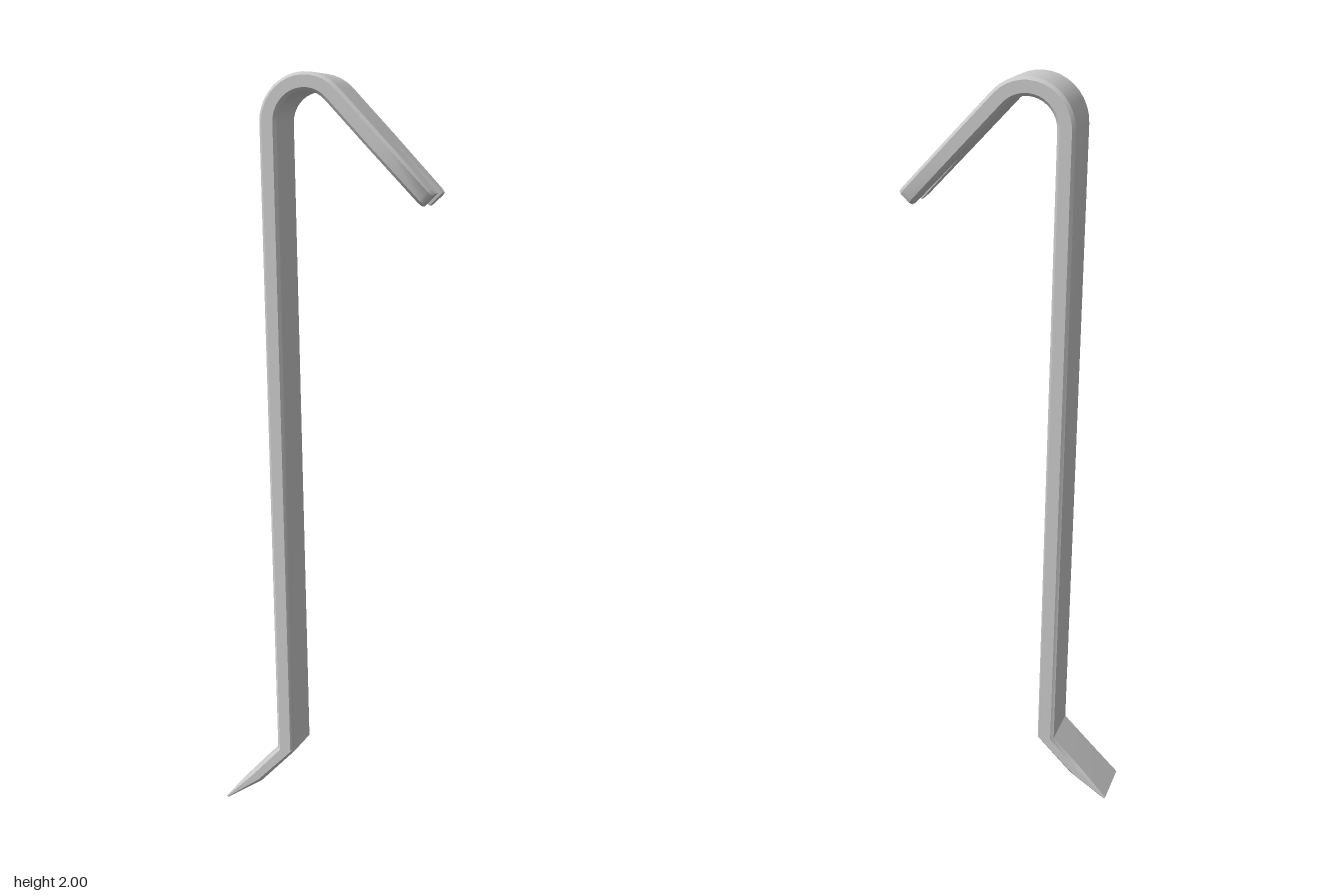
import * as THREE from 'three';
import { toCreasedNormals } from 'three/addons/utils/BufferGeometryUtils.js';

const HALF = 0.07;     // half width of the bar (z)
const THICK = 0.047;   // thickness of the bar
const BEVEL = 0.008;

// A station holds an outer point a, an inner point b and its extent lo..hi in z.
const station = (ax, ay, bx, by, lo = -HALF, hi = HALF) => ({ ax, ay, bx, by, lo, hi });

// Ring around a station; a side whose bevel is off keeps square corners.
function ring(s, bevelLo, bevelHi) {
  const thick = Math.hypot(s.bx - s.ax, s.by - s.ay);
  const c = Math.min(BEVEL, thick * 0.3);
  const u = c / thick;
  const hi0 = bevelHi ? [[0, s.hi - c], [u, s.hi]] : [[0, s.hi]];
  const hi1 = bevelHi ? [[1 - u, s.hi], [1, s.hi - c]] : [[1, s.hi]];
  const lo1 = bevelLo ? [[1, s.lo + c], [1 - u, s.lo]] : [[1, s.lo]];
  const lo0 = bevelLo ? [[u, s.lo], [0, s.lo + c]] : [[0, s.lo]];
  return [...hi1, ...lo1, ...lo0, ...hi0].map(([t, z]) => [
    s.ax + (s.bx - s.ax) * t, s.ay + (s.by - s.ay) * t, z]);
}

// Skin over consecutive rings, with optional flat end caps.
function loft(stations, { bevelLo = true, bevelHi = true, capStart = false, capEnd = false }) {
  const rings = stations.map((s) => ring(s, bevelLo, bevelHi));
  const n = rings[0].length;
  const pos = [];
  const tri = (p, q, r) => pos.push(...p, ...q, ...r);
  for (let k = 0; k < rings.length - 1; k++) {
    for (let i = 0; i < n; i++) {
      const j = (i + 1) % n;
      tri(rings[k][i], rings[k][j], rings[k + 1][j]);
      tri(rings[k][i], rings[k + 1][j], rings[k + 1][i]);
    }
  }
  const first = rings[0], last = rings[rings.length - 1];
  for (let i = 1; i < n - 1; i++) {
    if (capStart) tri(first[0], first[i + 1], first[i]);
    if (capEnd) tri(last[0], last[i], last[i + 1]);
  }
  const geo = new THREE.BufferGeometry();
  geo.setAttribute('position', new THREE.Float32BufferAttribute(pos, 3));
  return toCreasedNormals(geo, 0.6);
}

export function createModel() {
  const group = new THREE.Group();
  group.name = 'pryBar';
  const material = new THREE.MeshStandardMaterial({ color: 0xcccccc });
  const add = (name, geo) => {
    const mesh = new THREE.Mesh(geo, material);
    mesh.name = name;
    group.add(mesh);
  };

  // Chisel foot, elbow and leaning shaft
  const body = [
    station(-0.293, 0.004, -0.289, 0),
    station(-0.218, 0.085, -0.187, 0.065),
    station(-0.137, 0.168, -0.09, 0.165),
  ];

  // Hook bend
  const cx = -0.052, cy = 1.876, R = 0.123, r = R - THICK;
  const from = THREE.MathUtils.degToRad(181), to = THREE.MathUtils.degToRad(44);
  const STEPS = 14;
  for (let i = 0; i <= STEPS; i++) {
    const a = from + (to - from) * i / STEPS;
    const c = Math.cos(a), s = Math.sin(a);
    body.push(station(cx + R * c, cy + R * s, cx + r * c, cy + r * s));
  }

  // Straight arm after the bend, measured by distance d from the bend
  const nx = Math.cos(to), ny = Math.sin(to);
  const arm = (d, lo, hi) => station(
    cx + R * nx + ny * d, cy + R * ny - nx * d,
    cx + r * nx + ny * d, cy + r * ny - nx * d, lo, hi);
  body.push(arm(0.165, -HALF, HALF), arm(0.19, -0.069, 0.069));
  add('bar', loft(body, { capStart: true }));

  // Two claw prongs on either side of the V notch: distance, inner z, outer z
  const prong = [[0.19, 0, 0.069], [0.35, 0.02, 0.063], [0.364, 0.022, 0.053]];
  add('frontProng', loft(prong.map(([d, i, o]) => arm(d, i, o)), { bevelLo: false, capEnd: true }));
  add('backProng', loft(prong.map(([d, i, o]) => arm(d, -o, -i)), { bevelHi: false, capEnd: true }));

  return group;
}
